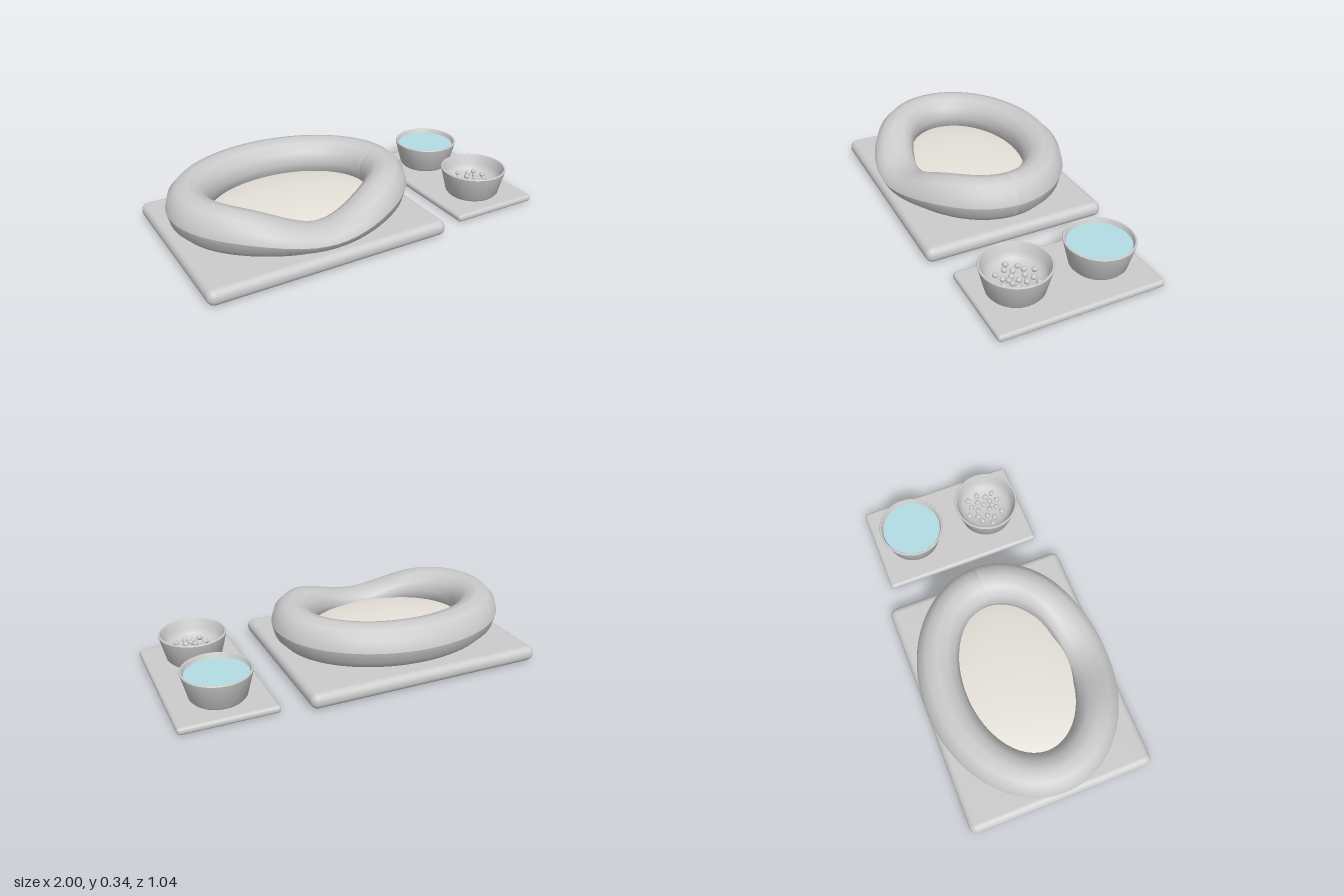
import * as THREE from 'three';
import { RoundedBoxGeometry } from 'three/addons/geometries/RoundedBoxGeometry.js';
import { toCreasedNormals } from 'three/addons/utils/BufferGeometryUtils.js';

const grey = new THREE.MeshStandardMaterial({ color: 0xcccccc });
const cushionMaterial = new THREE.MeshStandardMaterial({ color: 0xe6e2da });
const waterMaterial = new THREE.MeshStandardMaterial({ color: 0xb4dde4 });

function add(parent, name, geometry, material, x = 0, y = 0, z = 0) {
  const mesh = new THREE.Mesh(geometry, material);
  mesh.name = name;
  mesh.position.set(x, y, z);
  parent.add(mesh);
  return mesh;
}

// Oval padded ring, squashed down at the front to make an entrance
function bolsterGeometry() {
  const rx = 0.548, rz = 0.405, tube = 0.115, height = 0.12;
  const geometry = new THREE.TorusGeometry(1, 0.25, 12, 72);
  const p = geometry.attributes.position;
  for (let i = 0; i < p.count; i++) {
    const x = p.getX(i), y = p.getY(i);
    const angle = Math.atan2(x, y); // zero at the front
    const out = (Math.hypot(x, y) - 1) / 0.25;
    const up = p.getZ(i) / 0.25;
    const dip = Math.exp(-0.5 * (angle / 0.39) ** 2);
    p.setXYZ(i,
      Math.sin(angle) * (rx + tube * out),
      0.22 - 0.072 * dip + up * (height - 0.057 * dip),
      Math.cos(angle) * (rz + tube * out));
  }
  // The axis swap above mirrors the ring, so turn its faces back outward
  const index = geometry.index;
  for (let i = 0; i < index.count; i += 3) {
    const a = index.getX(i);
    index.setX(i, index.getX(i + 1));
    index.setX(i + 1, a);
  }
  // Make sure of the winding from the top of the first face
  geometry.computeVertexNormals();
  const n = geometry.attributes.normal;
  let top = 0;
  for (let i = 1; i < p.count; i++) if (p.getY(i) > p.getY(top)) top = i;
  if (n.getY(top) < 0) {
    for (let i = 0; i < index.count; i += 3) {
      const a = index.getX(i);
      index.setX(i, index.getX(i + 1));
      index.setX(i + 1, a);
    }
    geometry.computeVertexNormals();
  }
  return geometry;
}

// Tapered bowl with a chamfered foot and a rounded hollow
function bowlGeometry() {
  const profile = [
    [0, 0.038], [0.135, 0.038], [0.15, 0.055], [0.184, 0.19], [0.181, 0.195],
    [0.174, 0.195], [0.17, 0.188], [0.158, 0.145], [0.143, 0.118],
    [0.12, 0.104], [0.08, 0.095], [0, 0.092],
  ].map(([r, y]) => new THREE.Vector2(r, y));
  return toCreasedNormals(new THREE.LatheGeometry(profile, 48), 0.6);
}

export function createModel() {
  const model = new THREE.Group();
  model.name = 'petBedAndBowls';

  // Bed
  const bed = new THREE.Group();
  bed.name = 'bed';
  model.add(bed);
  add(bed, 'bedMat', new RoundedBoxGeometry(1.34, 0.085, 1.04, 5, 0.04), grey, -0.33, 0.0425, 0);
  add(bed, 'bolster', bolsterGeometry(), grey, -0.327, 0, 0);
  const cushion = add(bed, 'cushion', new THREE.SphereGeometry(1, 48, 24), cushionMaterial, -0.327, 0.12, 0);
  cushion.scale.set(0.53, 0.075, 0.39);

  // Feeding station
  const feeding = new THREE.Group();
  feeding.name = 'feedingStation';
  model.add(feeding);
  add(feeding, 'feedingMat', new RoundedBoxGeometry(0.52, 0.04, 0.91, 4, 0.018), grey, 0.74, 0.02, -0.005);
  const bowl = bowlGeometry();
  add(feeding, 'waterBowl', bowl, grey, 0.735, 0, -0.235);
  add(feeding, 'foodBowl', bowl, grey, 0.735, 0, 0.23);
  const water = add(feeding, 'water', new THREE.CircleGeometry(0.165, 48), waterMaterial, 0.735, 0.17, -0.235);
  water.rotation.x = -Math.PI / 2;

  // Kibble scattered in the food bowl
  const kibble = new THREE.Group();
  kibble.name = 'kibble';
  feeding.add(kibble);
  const spots = [
    [0.72, 0.12], [0.77, 0.15], [0.815, 0.145], [0.735, 0.18], [0.66, 0.18],
    [0.785, 0.195], [0.83, 0.205], [0.685, 0.22], [0.625, 0.23], [0.72, 0.245],
    [0.76, 0.225], [0.66, 0.255], [0.805, 0.25], [0.74, 0.27], [0.77, 0.265],
    [0.68, 0.31], [0.72, 0.29], [0.765, 0.31], [0.815, 0.295], [0.695, 0.165],
  ];
  const piece = new THREE.SphereGeometry(0.017, 8, 6);
  spots.forEach(([x, z], i) => {
    const mesh = add(kibble, 'kibblePiece', piece, grey, x, 0.112, z);
    mesh.scale.set(1, 0.8, 0.9);
    mesh.rotation.set(0.3 * Math.sin(i * 2.1), i * 1.7, 0.3 * Math.cos(i * 1.3));
  });

  return model;
}
